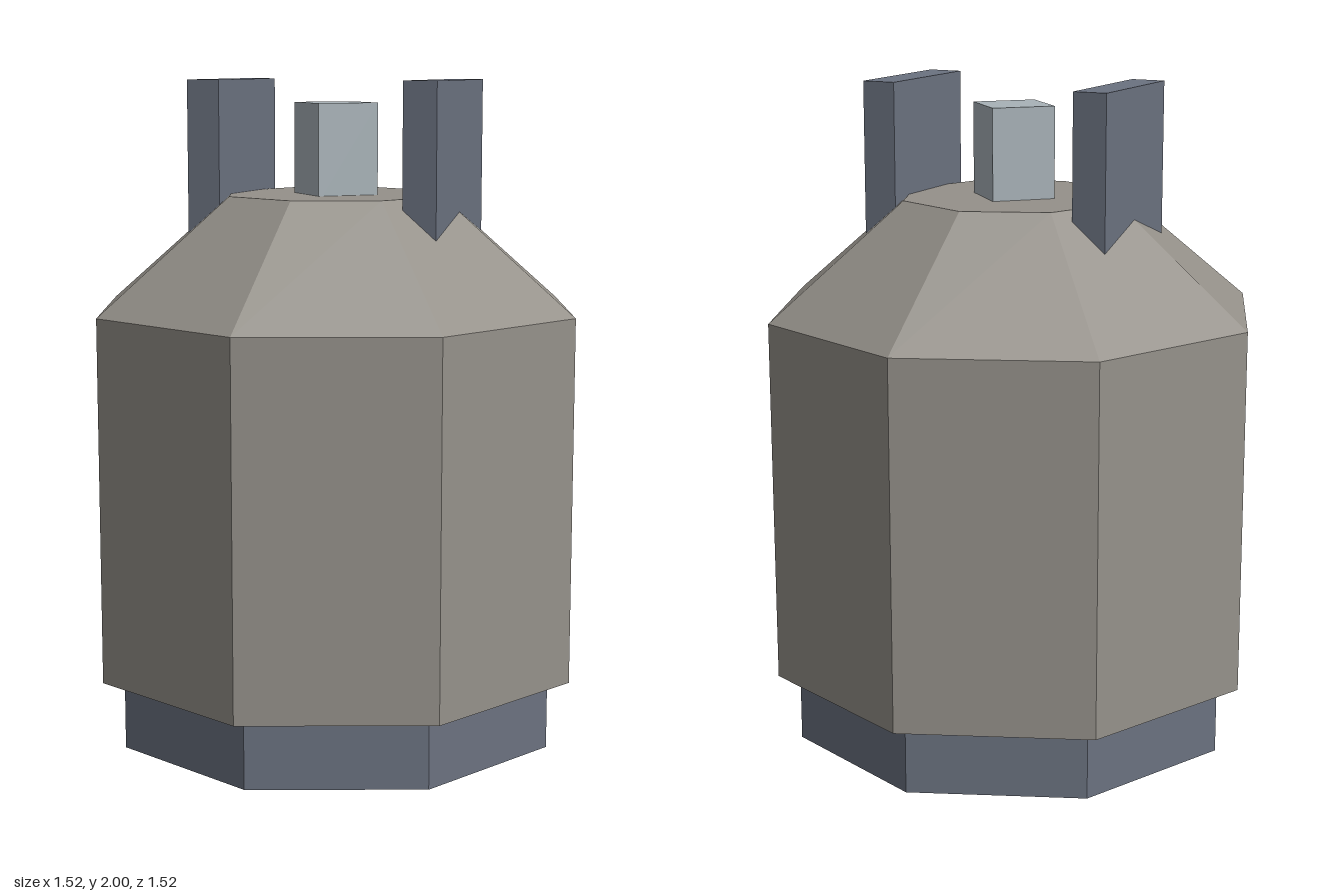
import * as THREE from 'three';

export function createModel() {
  const model = new THREE.Group();
  model.name = 'gasCylinder';

  const material = (name, color) => {
    const m = new THREE.MeshStandardMaterial({ color, flatShading: true });
    m.name = name;
    return m;
  };
  const tankGrey = material('tank warm grey', 0x95918a);
  const steel = material('slate steel', 0x6b7280);
  const valveGrey = material('valve pale grey', 0xa8b2b8);

  const add = (name, geometry, mat, x, y, z = 0) => {
    const mesh = new THREE.Mesh(geometry, mat);
    mesh.name = name;
    mesh.position.set(x, y, z);
    model.add(mesh);
  };
  // Upright prism or frustum spanning y0 to y1, with corners on the axes
  const prism = (name, rTop, rBottom, y0, y1, sides, mat, open = false) =>
    add(name, new THREE.CylinderGeometry(rTop, rBottom, y1 - y0, sides, 1, open), mat, 0, (y0 + y1) / 2);

  // Octagonal foot ring, tank and sloping shoulder
  prism('footRing', 0.69, 0.69, 0, 0.21, 8, steel);
  prism('tankBody', 0.758, 0.758, 0.21, 1.313, 8, tankGrey);
  prism('tankShoulder', 0.343, 0.758, 1.313, 1.658, 8, tankGrey);

  // Four-sided valve on the top
  prism('valve', 0.136, 0.136, 1.64, 1.932, 4, valveGrey);

  // Mirrored guard plates sunk into the shoulder
  for (const [name, side] of [['leftGuard', 1], ['rightGuard', -1]]) {
    add(name, new THREE.BoxGeometry(0.104, 0.5, 0.41), steel, side * 0.344, 1.75);
  }

  return model;
}
